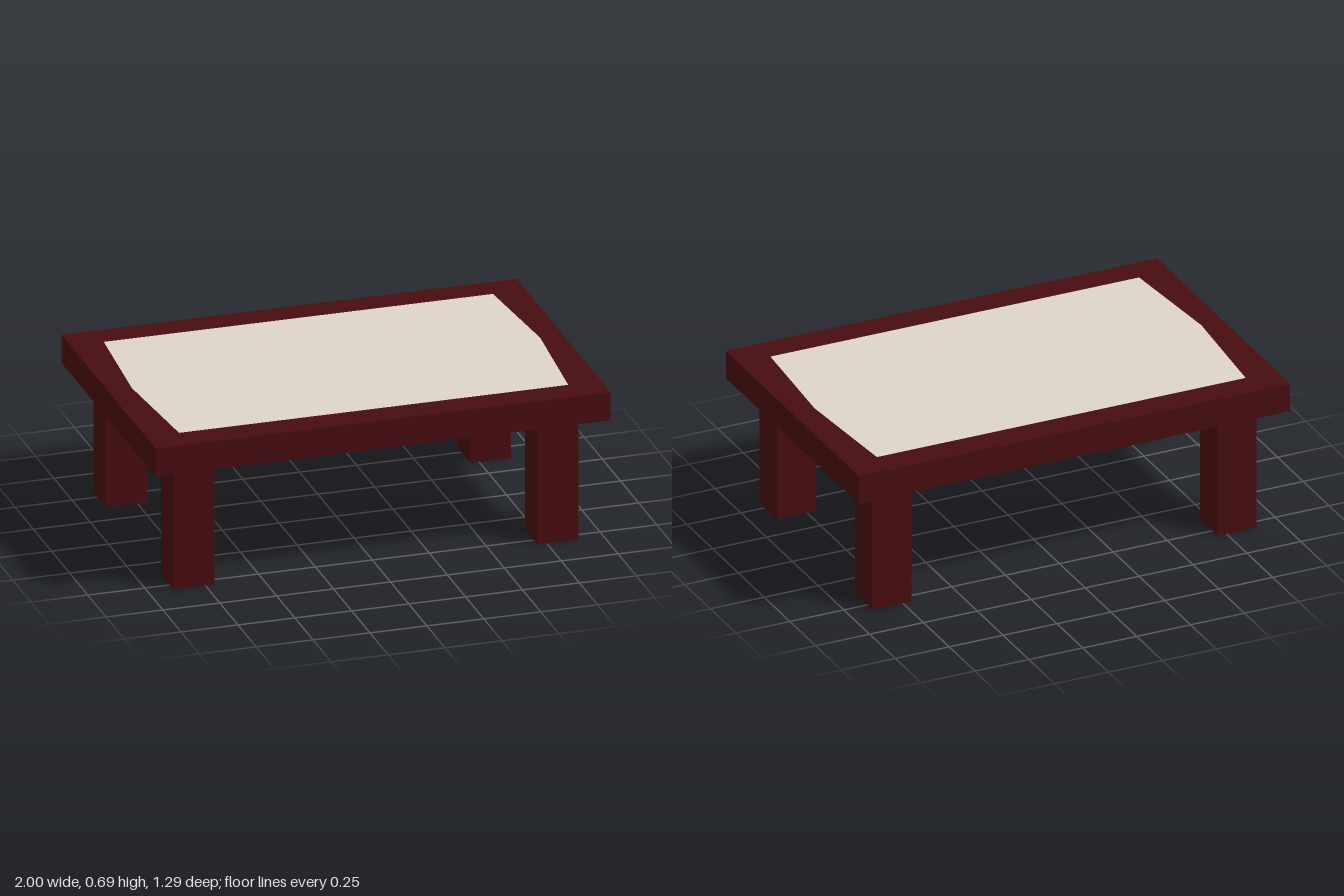
import * as THREE from 'three';

export function createModel() {
  const model = new THREE.Group();
  const wood = new THREE.MeshStandardMaterial({ color: 0x470c0f, flatShading: true });
  const cream = new THREE.MeshStandardMaterial({ color: 0xddd3c9, flatShading: true });

  const addBox = (name, size, position) => {
    const mesh = new THREE.Mesh(new THREE.BoxGeometry(...size), wood);
    mesh.name = name;
    mesh.position.set(...position);
    model.add(mesh);
  };

  // Thick rectangular top
  const topY = 0.692, underY = 0.565;
  addBox('tableTop', [2, topY - underY, 1.294], [0, (topY + underY) / 2, 0]);

  // Four square legs, set in from the corners
  for (const [x, side] of [[1, 'Left'], [-1, 'Right']])
    for (const [z, end] of [[1, 'front'], [-1, 'back']])
      addBox(`${end}${side}Leg`, [0.18, underY, 0.17], [x * 0.8, underY / 2, z * 0.465]);

  // Inlaid panel: six-sided, with a barely raised ridge along its middle
  const panelGeometry = new THREE.PlaneGeometry(1.71, 1.036, 1, 2).rotateX(-Math.PI / 2);
  const p = panelGeometry.attributes.position;
  for (let i = 0; i < p.count; i++) {
    const onRidge = Math.abs(p.getZ(i)) < 0.01;
    if (onRidge) p.setX(i, Math.sign(p.getX(i)) * 0.897);
    p.setY(i, onRidge ? 0.695 : topY + 0.0007);
  }
  panelGeometry.computeVertexNormals();
  const panel = new THREE.Mesh(panelGeometry, cream);
  panel.name = 'inlaidPanel';
  model.add(panel);

  return model;
}
